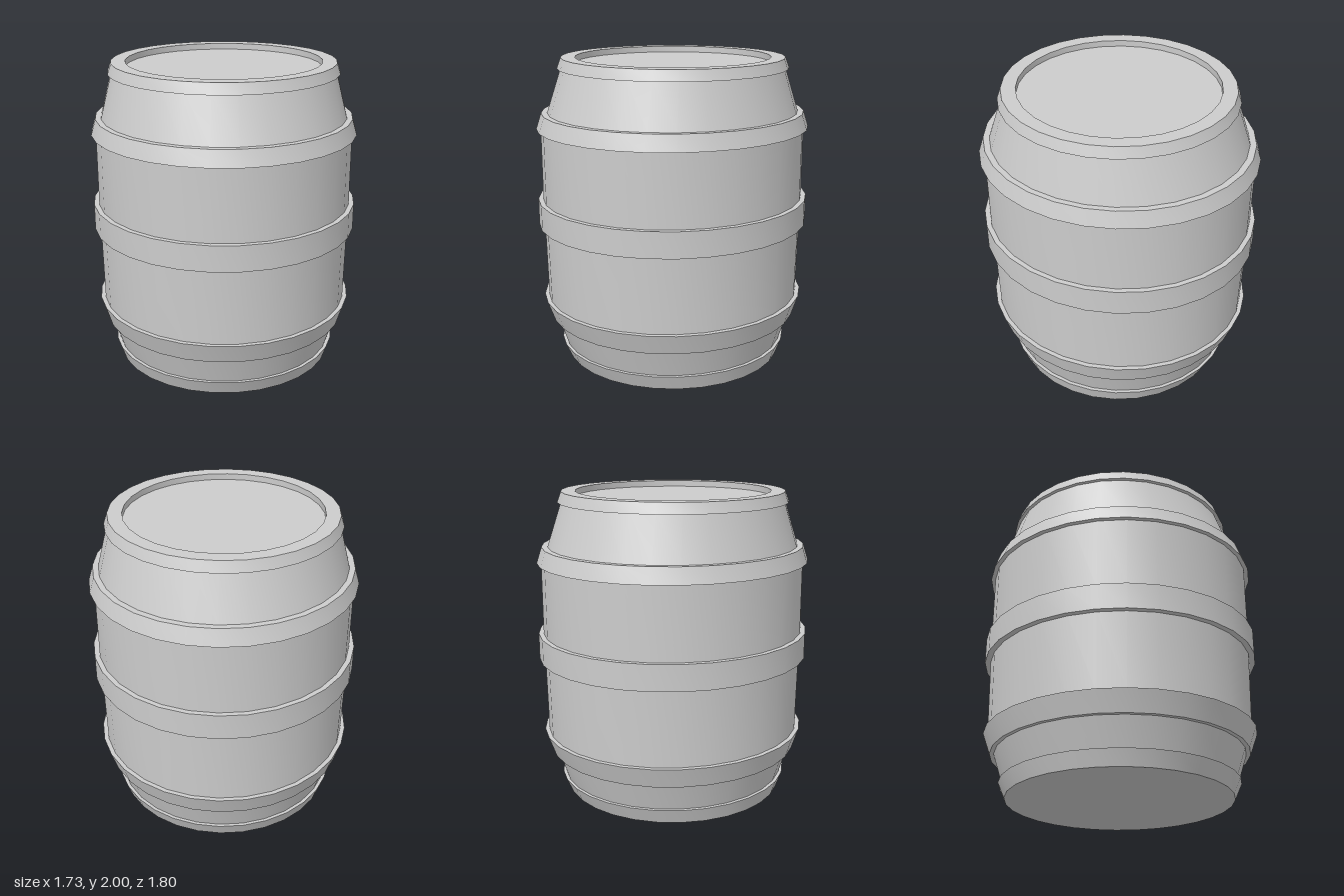
import * as THREE from 'three';
import { mergeGeometries } from 'three/addons/utils/BufferGeometryUtils.js';

const SIDES = 30;
const material = new THREE.MeshStandardMaterial({ color: 0xcccccc });

// One band between two elliptical rings [y, radiusX, radiusZ]; smooth around its girth.
function band(lower, upper) {
  const positions = [];
  const indices = [];
  for (const [y, rx, rz] of [lower, upper]) {
    for (let i = 0; i < SIDES; i++) {
      const a = (i / SIDES) * Math.PI * 2;
      positions.push(rx * Math.cos(a), y, rz * Math.sin(a));
    }
  }
  for (let i = 0; i < SIDES; i++) {
    const j = (i + 1) % SIDES;
    if (upper[1] > 0) indices.push(i, SIDES + i, SIDES + j);
    if (lower[1] > 0) indices.push(i, SIDES + j, j);
  }
  const geometry = new THREE.BufferGeometry();
  geometry.setAttribute('position', new THREE.Float32BufferAttribute(positions, 3));
  geometry.setIndex(indices);
  geometry.computeVertexNormals();
  return geometry;
}

// Stack of bands with sharp edges where they meet.
function loft(name, rings) {
  const bands = rings.slice(1).map((ring, i) => band(rings[i], ring));
  const mesh = new THREE.Mesh(mergeGeometries(bands), material);
  mesh.name = name;
  return mesh;
}

// Hoop: sloping outer face with flat ledges running into the staves.
function hoop(name, bottom, top, depth = 0.08) {
  const inset = ([y, rx, rz]) => [y, rx - depth, rz - depth];
  return loft(name, [inset(bottom), bottom, top, inset(top)]);
}

export function createModel() {
  const barrel = new THREE.Group();
  barrel.name = 'barrel';

  // Staves and flat base, slightly oval around the belly
  barrel.add(loft('body', [
    [0, 0, 0],
    [0, 0.715, 0.718],
    [0.1, 0.73, 0.75],
    [0.285, 0.785, 0.81],
    [0.42, 0.82, 0.86],
    [0.92, 0.829, 0.87],
    [1.08, 0.833, 0.875],
    [1.6, 0.833, 0.875],
    [1.65, 0.797, 0.828],
    [1.93, 0.725, 0.727],
    [1.94, 0.7, 0.7],
  ]));

  // Hoops around the belly
  barrel.add(hoop('lowerHoop', [0.285, 0.81, 0.838], [0.42, 0.85, 0.888]));
  barrel.add(hoop('middleHoop', [0.917, 0.866, 0.907], [1.085, 0.866, 0.907]));
  barrel.add(hoop('upperHoop', [1.55, 0.863, 0.903], [1.652, 0.833, 0.868]));

  // Foot hoop, meeting the edge of the base
  barrel.add(loft('bottomHoop', [
    [0, 0.715, 0.718],
    [0, 0.722, 0.725],
    [0.1, 0.753, 0.771],
    [0.1, 0.7, 0.7],
  ]));

  // Top rim with the recessed lid
  barrel.add(loft('topRim', [
    [1.932, 0.68, 0.68],
    [1.932, 0.745, 0.75],
    [2, 0.722, 0.725],
    [2, 0.63, 0.633],
    [1.96, 0.63, 0.633],
  ]));
  barrel.add(loft('lid', [
    [1.96, 0.63, 0.633],
    [1.96, 0, 0],
  ]));

  return barrel;
}
